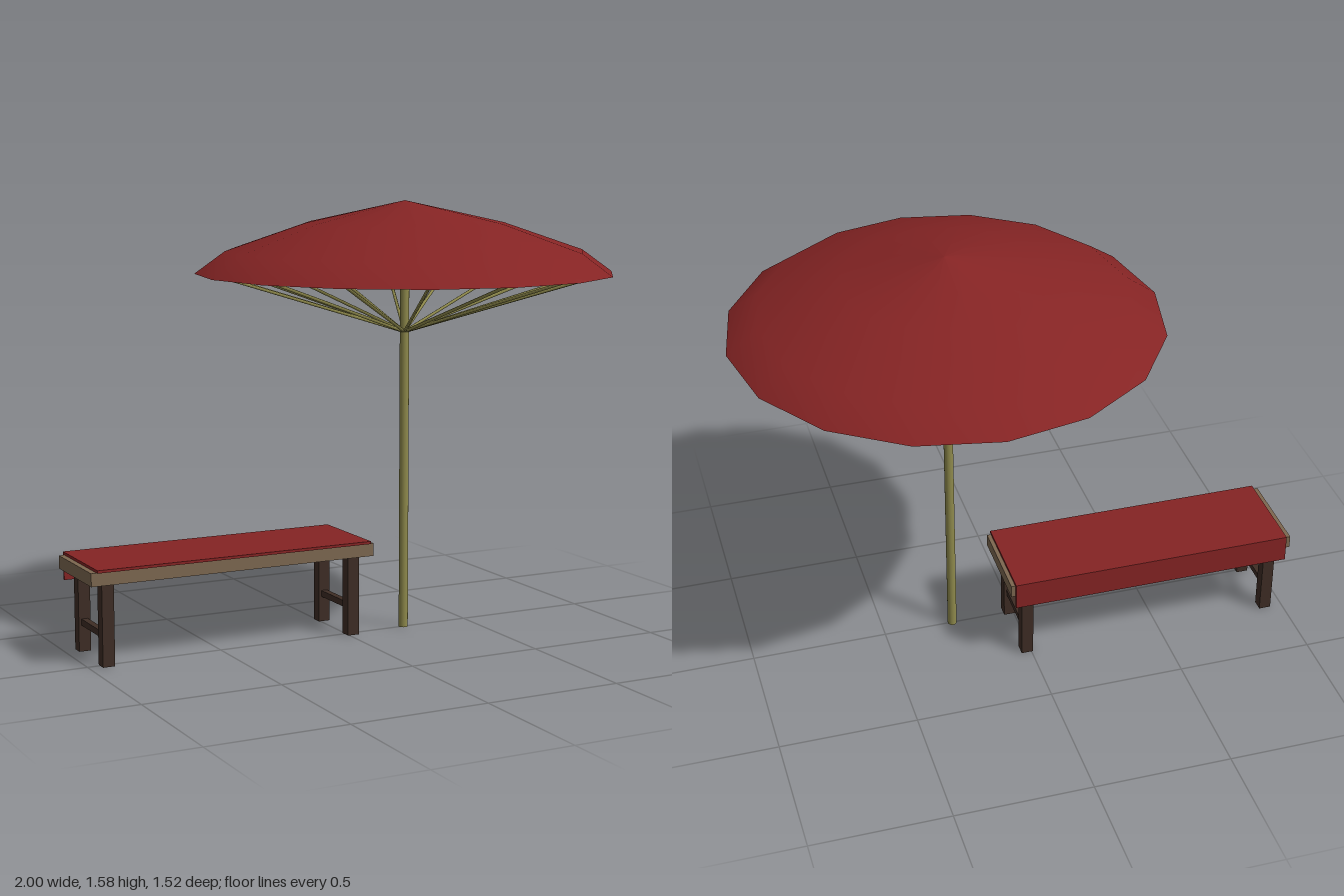
import * as THREE from 'three';

const red = new THREE.MeshStandardMaterial({ color: 0x852424, side: THREE.DoubleSide });
red.name = 'red cloth';
const bamboo = new THREE.MeshStandardMaterial({ color: 0x8f8a4c });
bamboo.name = 'bamboo';
const plank = new THREE.MeshStandardMaterial({ color: 0x7d6850 });
plank.name = 'plank wood';
const dark = new THREE.MeshStandardMaterial({ color: 0x3e2d25 });
dark.name = 'dark wood';

function add(parent, name, geometry, material) {
  const mesh = new THREE.Mesh(geometry, material);
  mesh.name = name;
  parent.add(mesh);
  return mesh;
}

// Box given by its limits on each axis
function box(parent, name, material, [x0, x1], [y0, y1], [z0, z1]) {
  const mesh = add(parent, name, new THREE.BoxGeometry(x1 - x0, y1 - y0, z1 - z0), material);
  mesh.position.set((x0 + x1) / 2, (y0 + y1) / 2, (z0 + z1) / 2);
  return mesh;
}

function createParasol() {
  const parasol = new THREE.Group();
  parasol.name = 'parasol';
  const sides = 16, rimY = 1.315;

  // Canopy shell and its flat underside
  const profile = [[0.76, rimY], [0.65, 1.395], [0.36, 1.495], [0, 1.575]];
  add(parasol, 'canopy', new THREE.LatheGeometry(profile.map(p => new THREE.Vector2(...p)), sides), red);
  const under = add(parasol, 'canopyUnderside', new THREE.CircleGeometry(0.76, sides), red);
  under.rotation.x = Math.PI / 2;
  under.position.y = rimY;

  // Pole
  const pole = add(parasol, 'pole', new THREE.CylinderGeometry(0.017, 0.017, 1.4, 16), bamboo);
  pole.position.y = 0.7;

  // Ribs fanning out from the hub to the canopy
  const start = new THREE.Vector3(0, 1.1, 0);
  const up = new THREE.Vector3(0, 1, 0);
  for (let i = 0; i < sides; i++) {
    const a = i / sides * Math.PI * 2;
    const end = new THREE.Vector3(Math.cos(a) * 0.71, rimY + 0.004, Math.sin(a) * 0.71);
    const dir = end.clone().sub(start);
    const rib = add(parasol, 'rib', new THREE.CylinderGeometry(0.006, 0.006, dir.length(), 6), bamboo);
    rib.position.copy(start).add(end).multiplyScalar(0.5);
    rib.quaternion.setFromUnitVectors(up, dir.normalize());
  }
  parasol.position.x = 0.24;
  return parasol;
}

function createBench() {
  const bench = new THREE.Group();
  bench.name = 'bench';
  box(bench, 'seat', plank, [-1, 0.085], [0.293, 0.34], [-0.272, 0.054]);

  // Cloth over the seat, hanging down at the back
  box(bench, 'clothTop', red, [-0.98, 0.07], [0.34, 0.35], [-0.285, 0.063]);
  box(bench, 'clothDrape', red, [-0.98, 0.07], [0.248, 0.34], [-0.285, -0.277]);

  // Leg pairs with a stretcher between them
  for (const x of [-0.932, 0.016]) {
    const legX = [x - 0.022, x + 0.022];
    box(bench, 'frontLeg', dark, legX, [0, 0.293], [-0.013, 0.03]);
    box(bench, 'backLeg', dark, legX, [0, 0.293], [-0.249, -0.207]);
    box(bench, 'stretcher', dark, [x - 0.012, x + 0.012], [0.095, 0.118], [-0.207, -0.013]);
  }
  return bench;
}

export function createModel() {
  const model = new THREE.Group();
  model.name = 'parasolAndBench';
  model.add(createParasol(), createBench());
  return model;
}
